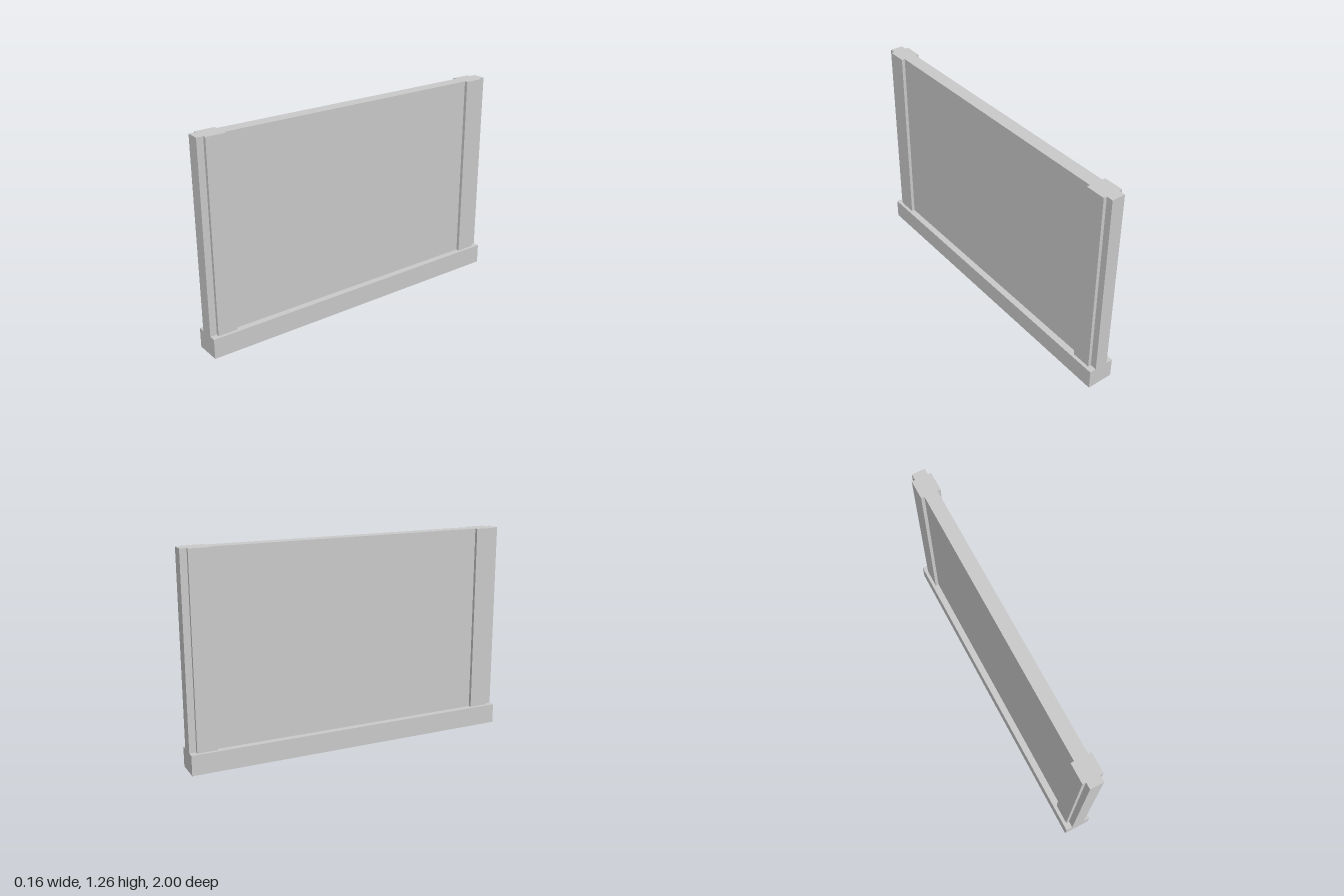
import * as THREE from 'three';

const LENGTH = 2, HEIGHT = 1.26;
const BASE_WIDTH = 0.16, BASE_HEIGHT = 0.12;
const WALL_HALF = 0.04, PILASTER_HALF = 0.06;
const PILASTER_INNER = 0.84, PILASTER_OUTER = 0.96;

export function createModel() {
  const group = new THREE.Group();
  group.name = 'wallSegment';
  const material = new THREE.MeshStandardMaterial({ color: 0xcccccc, flatShading: true });

  // Plinth running the full length
  const base = new THREE.Mesh(new THREE.BoxGeometry(BASE_WIDTH, BASE_HEIGHT, LENGTH), material);
  base.name = 'base';
  base.position.y = BASE_HEIGHT / 2;
  group.add(base);

  // Plan outline of one side: thin wall stepping out at the two pilasters
  const side = [
    [WALL_HALF, -LENGTH / 2],
    [WALL_HALF, -PILASTER_OUTER],
    [PILASTER_HALF, -PILASTER_OUTER],
    [PILASTER_HALF, -PILASTER_INNER],
    [WALL_HALF, -PILASTER_INNER],
    [WALL_HALF, PILASTER_INNER],
    [PILASTER_HALF, PILASTER_INNER],
    [PILASTER_HALF, PILASTER_OUTER],
    [WALL_HALF, PILASTER_OUTER],
    [WALL_HALF, LENGTH / 2],
  ];
  // The other side is the same outline turned half a revolution
  const outline = [...side, ...side.map(([x, z]) => [-x, -z])];
  const plan = new THREE.Shape(outline.map(([x, z]) => new THREE.Vector2(x, z)));

  // Wall panel with pilasters, extruded upward from the plinth
  const geometry = new THREE.ExtrudeGeometry(plan, { depth: HEIGHT - BASE_HEIGHT, bevelEnabled: false });
  geometry.rotateX(-Math.PI / 2);
  const wall = new THREE.Mesh(geometry, material);
  wall.name = 'wallWithPilasters';
  wall.position.y = BASE_HEIGHT;
  group.add(wall);

  return group;
}
